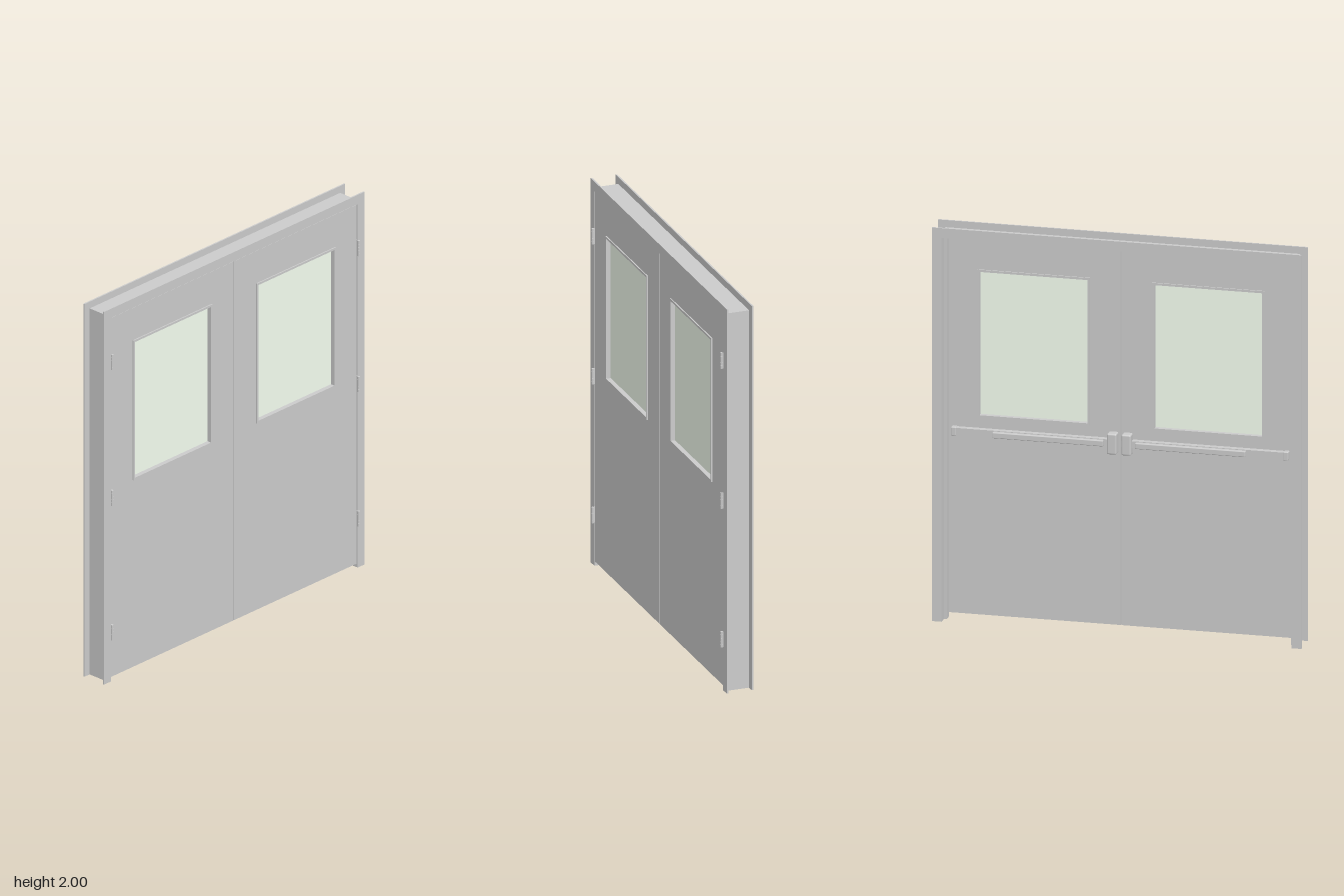
import * as THREE from 'three';
import { RoundedBoxGeometry } from 'three/addons/geometries/RoundedBoxGeometry.js';

const grey = new THREE.MeshStandardMaterial({ color: 0xcccccc });
const glassMat = new THREE.MeshStandardMaterial({ color: 0xf4fef0 });

function add(parent, name, geometry, x = 0, y = 0, z = 0, material = grey) {
  const mesh = new THREE.Mesh(geometry, material);
  mesh.name = name;
  mesh.position.set(x, y, z);
  parent.add(mesh);
  return mesh;
}

// Box given by its lower and upper corner
function block(parent, name, [x0, y0, z0], [x1, y1, z1], material = grey) {
  return add(parent, name, new THREE.BoxGeometry(x1 - x0, y1 - y0, z1 - z0),
    (x0 + x1) / 2, (y0 + y1) / 2, (z0 + z1) / 2, material);
}

// Rectangle [z0, y0, z1, y1], as points
function rectPoints([z0, y0, z1, y1]) {
  return [[z0, y0], [z1, y0], [z1, y1], [z0, y1]].map(p => new THREE.Vector2(...p));
}

// Upright panel with a rectangular hole, between x0 and x1
function holedPanel(outer, hole, x0, x1) {
  const shape = new THREE.Shape(rectPoints(outer));
  shape.holes.push(new THREE.Path(rectPoints(hole).reverse()));
  const g = new THREE.ExtrudeGeometry(shape, { depth: x1 - x0, bevelEnabled: false });
  return g.rotateY(-Math.PI / 2).translate(x1, 0, 0);
}

// Rebated frame section (depth, inset) mitred around both jambs and the head
function frameGeometry() {
  const profile = [
    [-0.077, 0], [-0.069, 0], [-0.069, 0.036], [0.052, 0.036], [0.052, 0], [0.06, 0],
    [0.06, 0.049], [0.012, 0.049], [0.012, 0.063], [-0.03, 0.063], [-0.03, 0.049], [-0.077, 0.049],
  ].map(p => new THREE.Vector2(...p));
  let g = new THREE.ExtrudeGeometry(new THREE.Shape(profile), { depth: 3, steps: 3, bevelEnabled: false });
  const p = g.attributes.position;
  for (let i = 0; i < p.count; i++) {
    const inset = p.getY(i), station = Math.round(p.getZ(i));
    const onHead = station === 1 || station === 2;
    p.setXYZ(i, p.getX(i), onHead ? 2 - inset : 0, (station < 2 ? 1 : -1) * (0.92 - inset));
  }
  if (g.index) g = g.toNonIndexed();
  g.computeVertexNormals();
  return g;
}

function makeHinge(y) {
  const hinge = new THREE.Group();
  hinge.name = 'hinge';
  block(hinge, 'hingeLeaf', [0.03, y - 0.041, 0.8685], [0.066, y + 0.041, 0.8715]);
  for (let i = 0; i < 5; i++) {
    add(hinge, 'hingeKnuckle', new THREE.CylinderGeometry(0.0065, 0.0065, 0.0158, 16),
      0.0685, y + (i - 2) * 0.0165, 0.87);
  }
  return hinge;
}

// One door leaf on the +z side, or mirrored in position for the -z side
function makeLeaf(side) {
  const leaf = new THREE.Group();
  leaf.name = side > 0 ? 'leftLeaf' : 'rightLeaf';
  const span = (a, b) => side > 0 ? [a, b] : [-b, -a];
  const rect = (a, y0, b, y1) => { const [z0, z1] = span(a, b); return [z0, y0, z1, y1]; };
  const bar = (name, x0, y0, a, x1, y1, b, radius) => {
    const [z0, z1] = span(a, b);
    if (!radius) return block(leaf, name, [x0, y0, z0], [x1, y1, z1]);
    return add(leaf, name, new RoundedBoxGeometry(x1 - x0, y1 - y0, z1 - z0, 3, radius),
      (x0 + x1) / 2, (y0 + y1) / 2, (z0 + z1) / 2);
  };

  // Panel, glazing trim and pane
  add(leaf, 'doorPanel', holedPanel(rect(0.002, 0.022, 0.867, 1.948), rect(0.16, 1.029, 0.711, 1.771), 0.014, 0.057));
  add(leaf, 'windowTrim', holedPanel(rect(0.156, 1.025, 0.715, 1.775), rect(0.167, 1.036, 0.704, 1.764), 0.008, 0.063));
  const [g0, g1] = span(0.162, 0.709);
  block(leaf, 'windowGlass', [0.032, 1.031, g0], [0.039, 1.769, g1], glassMat);

  // Panic bar: rail, push pad, end cap and latch housing
  bar('panicRail', -0.015, 0.935, 0.03, 0.014, 0.97, 0.835);
  bar('pushPad', -0.036, 0.938, 0.08, -0.013, 0.967, 0.63, 0.004);
  bar('railEndCap', -0.019, 0.931, 0.815, 0.014, 0.974, 0.84, 0.004);
  bar('latchHousing', -0.036, 0.9, 0.012, 0.014, 1.005, 0.06, 0.008);

  // Hinges on the outer edge
  for (const y of [0.266, 0.988, 1.717]) {
    const hinge = makeHinge(y);
    if (side < 0) hinge.rotation.y = 0, hinge.position.z = -2 * 0.87;
    leaf.add(hinge);
  }
  return leaf;
}

export function createModel() {
  const model = new THREE.Group();
  model.name = 'doubleDoor';
  add(model, 'doorFrame', frameGeometry());
  for (const side of [1, -1]) model.add(makeLeaf(side));
  // Strike between the leaves
  block(model, 'meetingStrike', [0.018, 0.925, -0.004], [0.05, 0.955, 0.004]);
  return model;
}
